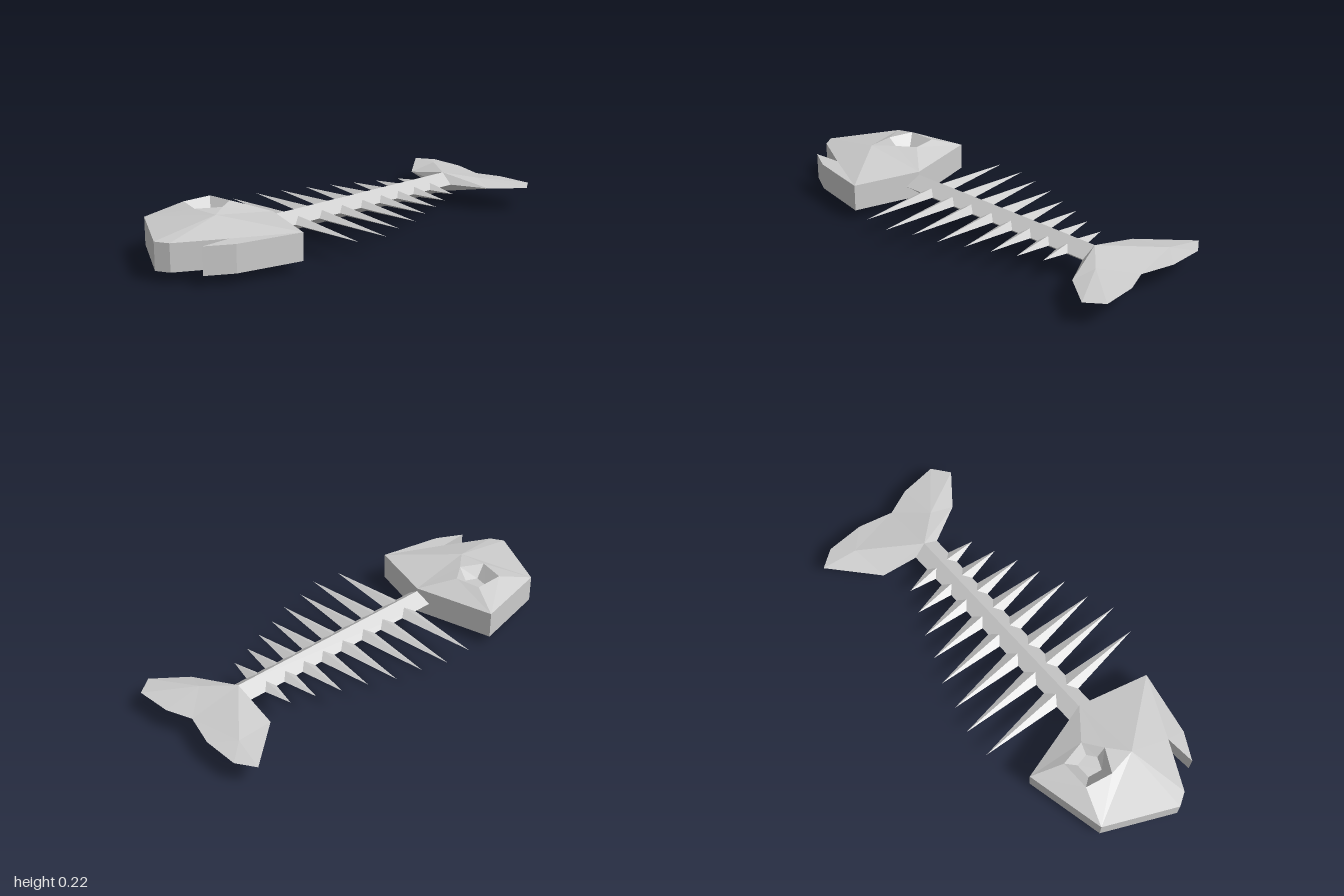
import * as THREE from 'three';

const MID = 0.1125; // height of the horizontal mirror plane
const material = new THREE.MeshStandardMaterial({ color: 0xcccccc, flatShading: true });

// Builds a solid from its upper facets, mirrored below MID, plus walls around an optional rim.
// Points are [x, z, height above MID]; upper facets are turned to face up.
function mirroredSolid(name, points, facets, rim = []) {
  const pos = [];
  const at = (i, s) => [points[i][0], MID + s * points[i][2], points[i][1]];
  for (const [a, b, c] of facets) {
    const [p, q, r] = [points[a], points[b], points[c]];
    const up = (q[1] - p[1]) * (r[0] - p[0]) - (q[0] - p[0]) * (r[1] - p[1]) > 0;
    const [m, n] = up ? [b, c] : [c, b];
    pos.push(...at(a, 1), ...at(m, 1), ...at(n, 1));
    pos.push(...at(a, -1), ...at(n, -1), ...at(m, -1));
  }
  rim.forEach((a, k) => {
    const b = rim[(k + 1) % rim.length];
    pos.push(...at(a, -1), ...at(b, -1), ...at(b, 1));
    pos.push(...at(a, -1), ...at(b, 1), ...at(a, 1));
  });
  const geo = new THREE.BufferGeometry();
  geo.setAttribute('position', new THREE.Float32BufferAttribute(pos, 3));
  geo.computeVertexNormals();
  const mesh = new THREE.Mesh(geo, material);
  mesh.name = name;
  return mesh;
}

// Head: faceted slab with a mouth notch and a sunken five-sided eye on both faces
function makeHead() {
  const outline = [[0, 0.365], [-0.38, 0.46], [-0.3, 0.83], [0.015, 0.99], [0.075, 0.955],
    [0.185, 0.74], [0.195, 0.88], [0.26, 0.76], [0.32, 0.46]];
  const eyeRim = [[-0.24, 0.525], [-0.12, 0.505], [-0.06, 0.59], [-0.115, 0.695], [-0.24, 0.665]];
  const eyeFloor = [[-0.19, 0.56], [-0.13, 0.55], [-0.1, 0.59], [-0.125, 0.645], [-0.19, 0.63]];
  const points = [
    ...outline.map(p => [...p, 0.0625]),  // 0-8
    ...eyeRim.map(p => [...p, 0.1125]),   // 9-13
    ...eyeFloor.map(p => [...p, 0.055]),  // 14-18
    [0.015, 0.68, 0.1125],                // 19, crown
  ];
  const facets = [
    [0, 1, 10], [1, 9, 10], [1, 13, 9], [1, 2, 13], [2, 12, 13], [2, 19, 12], [2, 3, 19], [3, 4, 19],
    [4, 5, 19], [5, 6, 7], [5, 7, 8], [19, 5, 8], [19, 8, 0], [19, 0, 11], [0, 10, 11], [19, 11, 12],
    [14, 15, 16], [14, 16, 17], [14, 17, 18],
  ];
  for (let i = 0; i < 5; i++) {
    const j = (i + 1) % 5;
    facets.push([9 + i, 9 + j, 14 + j], [9 + i, 14 + j, 14 + i]);
  }
  return mirroredSolid('head', points, facets, outline.map((_, i) => i));
}

// Tail: two lobes, each a fan of facets around its own raised point
function makeTail() {
  const points = [
    [0, -0.7, 0.0475], [0, -0.945, 0],                                              // root, fork
    [-0.255, -0.9, 0.015], [0.13, -0.81, 0.027],                                    // raised points
    [-0.235, -0.72, 0], [-0.42, -0.935, 0], [-0.335, -0.99, 0], [-0.16, -0.99, 0],  // right lobe
    [0.235, -0.775, 0], [0.35, -0.92, 0], [0.29, -1, 0], [0.12, -0.99, 0],          // left lobe
    [-0.065, -0.69, 0], [0.065, -0.69, 0],                                          // spine joint
  ];
  const facets = [[0, 12, 4], [0, 13, 8]];
  for (const [peak, first] of [[2, 4], [3, 8]]) {
    const loop = [0, first, first + 1, first + 2, first + 3, 1];
    loop.forEach((a, k) => facets.push([peak, a, loop[(k + 1) % loop.length]]));
  }
  return mirroredSolid('tail', points, facets);
}

// Spine: long bar with a diamond cross-section
function makeSpine() {
  const front = 0.4, back = -0.7;
  const geo = new THREE.CylinderGeometry(1, 1, front - back, 4);
  geo.rotateX(Math.PI / 2);
  geo.scale(0.065, 0.0475, 1);
  const mesh = new THREE.Mesh(geo, material);
  mesh.name = 'spine';
  mesh.position.set(0, MID, (front + back) / 2);
  return mesh;
}

// Ribs: pairs of four-sided spikes, shrinking towards the tail
function makeRibs() {
  const ribs = new THREE.Group();
  ribs.name = 'ribs';
  const base = 0.03;
  // [z, reach on the left, reach on the right]
  const pairs = [[0.248, 0.43, 0.446], [0.11, 0.453, 0.446], [-0.01, 0.405, 0.41],
    [-0.136, 0.377, 0.377], [-0.253, 0.325, 0.325], [-0.364, 0.284, 0.284],
    [-0.47, 0.235, 0.235], [-0.577, 0.187, 0.193]];
  pairs.forEach(([z, left, right], i) => {
    for (const [side, reach] of [[1, left], [-1, right]]) {
      const length = reach - base;
      const geo = new THREE.ConeGeometry(1, length, 4);
      geo.scale(0.024, 1, 0.047 - i * 0.001);
      geo.rotateZ(-side * Math.PI / 2);
      const rib = new THREE.Mesh(geo, material);
      rib.name = side > 0 ? 'leftRib' : 'rightRib';
      rib.position.set(side * (base + length / 2), MID, z);
      ribs.add(rib);
    }
  });
  return ribs;
}

export function createModel() {
  const model = new THREE.Group();
  model.name = 'fishSkeleton';
  model.add(makeHead(), makeSpine(), makeRibs(), makeTail());
  return model;
}
